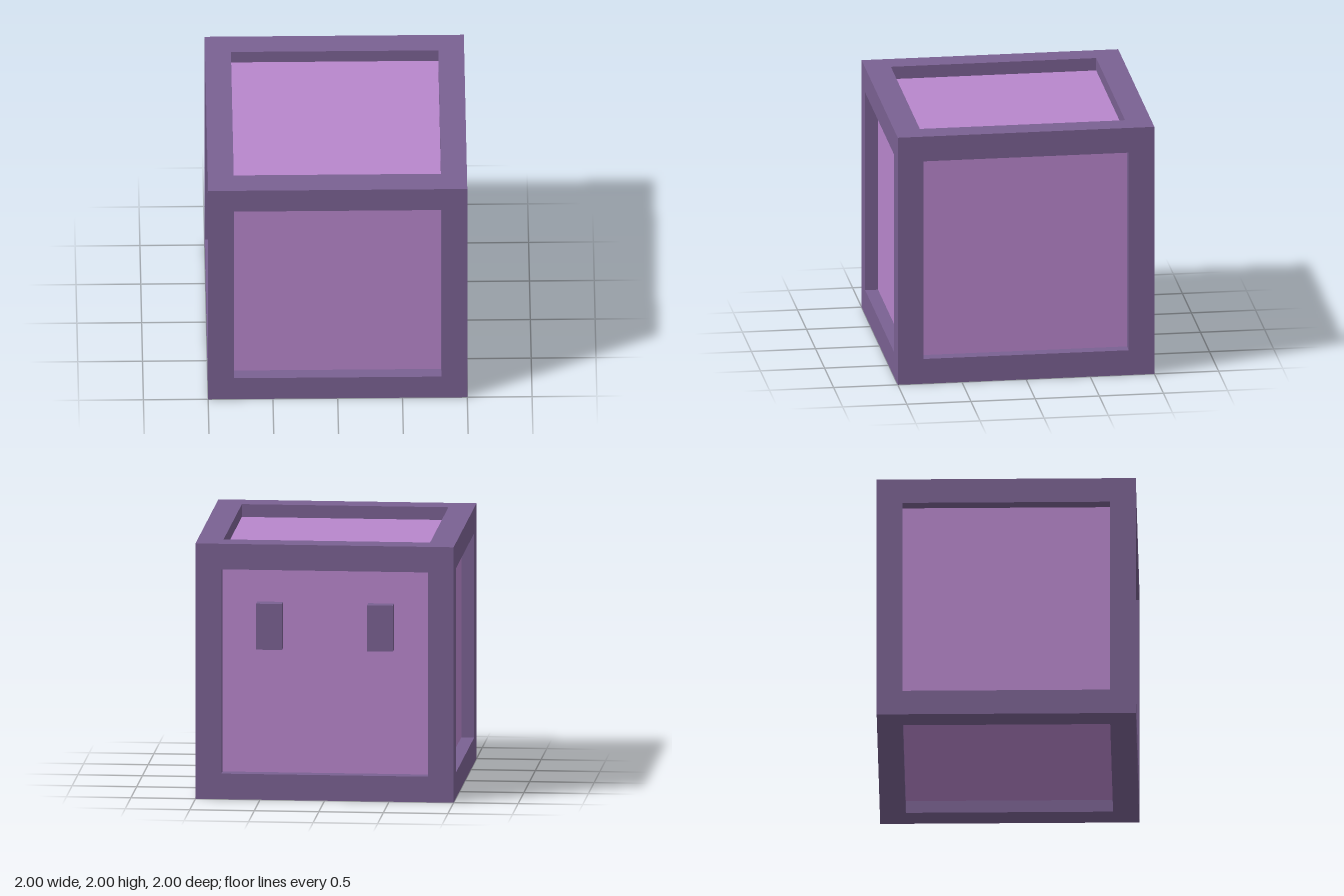
import * as THREE from 'three';

const frameMaterial = new THREE.MeshStandardMaterial({ color: 0x7a6192 });
const panelMaterial = new THREE.MeshStandardMaterial({ color: 0xb886cc });

function box(name, material, size, position) {
  const mesh = new THREE.Mesh(new THREE.BoxGeometry(...size), material);
  mesh.name = name;
  mesh.position.set(...position);
  return mesh;
}

export function createModel() {
  const model = new THREE.Group();
  model.name = 'framedCube';

  // Inner cube whose faces form the six recessed panels
  model.add(box('panels', panelMaterial, [1.8, 1.8, 1.8], [0, 1, 0]));

  // Twelve edge beams: full-height posts with rails fitted between them
  const frame = new THREE.Group();
  frame.name = 'frame';
  for (const a of [-0.9, 0.9]) {
    for (const b of [-0.9, 0.9]) {
      frame.add(
        box('post', frameMaterial, [0.2, 2, 0.2], [a, 1, b]),
        box('crossRail', frameMaterial, [1.6, 0.2, 0.2], [0, 1 + a, b]),
        box('sideRail', frameMaterial, [0.2, 0.2, 1.6], [a, 1 + b, 0])
      );
    }
  }
  model.add(frame);

  // Two upright blocks on the back panel, flush with the frame
  for (const side of [-1, 1]) {
    model.add(box('backBlock', frameMaterial, [0.2, 0.36, 0.1], [side * 0.43, 1.355, -0.95]));
  }

  return model;
}
